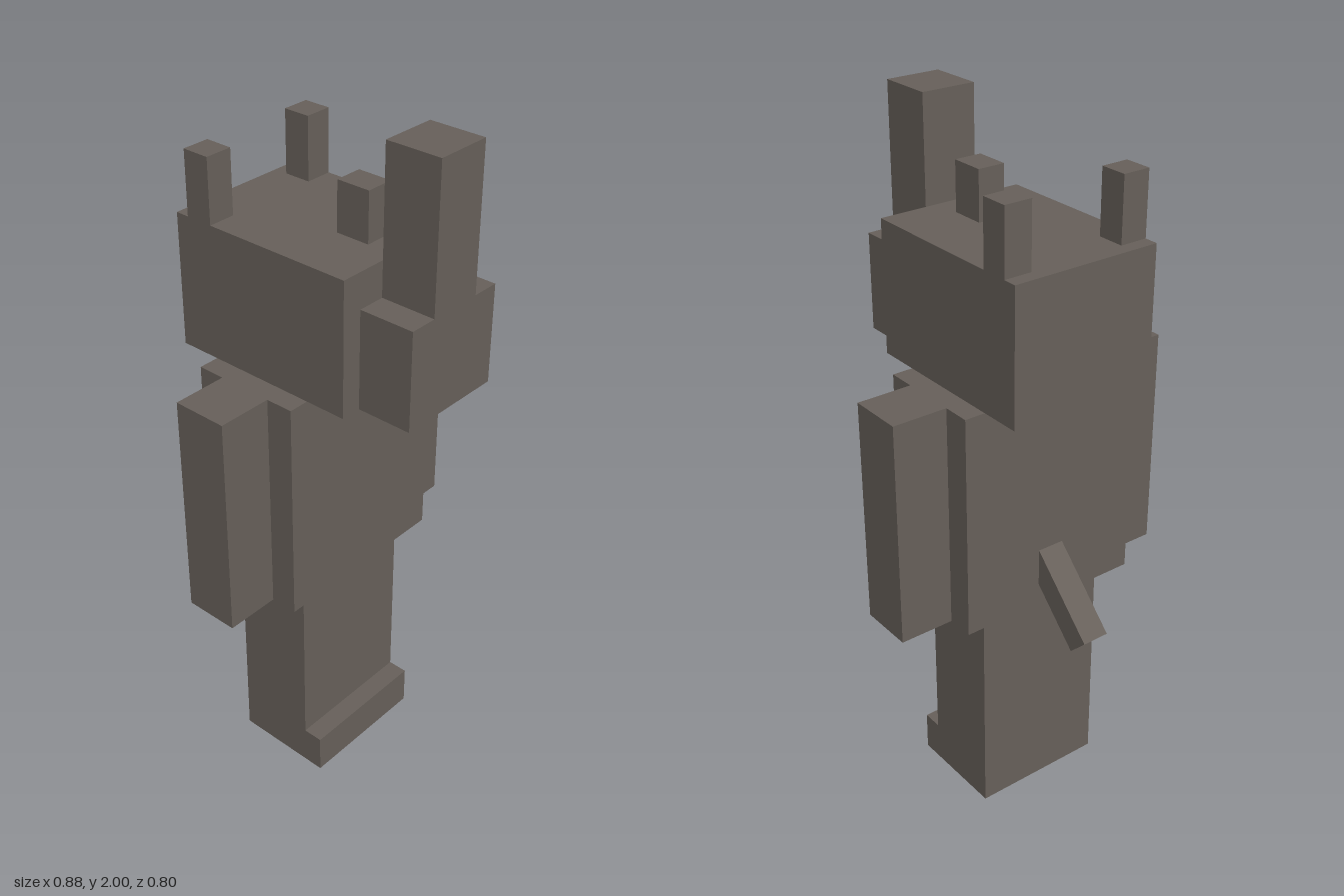
import * as THREE from 'three';

export function createModel() {
  const model = new THREE.Group();
  model.name = 'hornedBeast';
  const hide = new THREE.MeshStandardMaterial({ color: 0x67605a });
  hide.name = 'greyHide';

  // Box given by its low and high limits on each axis
  function block(name, [x0, x1], [y0, y1], [z0, z1]) {
    const mesh = new THREE.Mesh(new THREE.BoxGeometry(x1 - x0, y1 - y0, z1 - z0), hide);
    mesh.position.set((x0 + x1) / 2, (y0 + y1) / 2, (z0 + z1) / 2);
    mesh.name = name;
    model.add(mesh);
    return mesh;
  }

  // Left part and its mirror image on the right
  function pair(name, [x0, x1], y, z) {
    block('left' + name, [x0, x1], y, z);
    block('right' + name, [-x1, -x0], y, z);
  }

  // Legs and feet
  pair('Leg', [0, 0.2], [0, 0.665], [-0.16, 0.08]);
  pair('Foot', [0, 0.2], [0, 0.12], [0.08, 0.14]);

  // Torso and arms
  block('torso', [-0.28, 0.28], [0.665, 1.32], [-0.2, 0.12]);
  pair('Arm', [0.28, 0.44], [0.665, 1.32], [-0.12, 0.04]);

  // Head, snout, horns and ears
  block('head', [-0.22, 0.22], [1.32, 1.7], [-0.32, 0.24]);
  block('snout', [-0.16, 0.16], [1.32, 1.6], [0.24, 0.4]);
  block('largeHorn', [-0.08, 0.08], [1.6, 2], [0.24, 0.4]);
  block('smallHorn', [-0.04, 0.04], [1.7, 1.84], [0.06, 0.16]);
  pair('Ear', [0.14, 0.22], [1.7, 1.88], [-0.28, -0.2]);

  // Tail slanting down and back out of the torso
  const tail = block('tail', [-0.04, 0.04], [0.565, 0.885], [-0.295, -0.217]);
  tail.position.set(0, 0.727, -0.258);
  tail.rotation.x = Math.PI / 4;

  return model;
}
